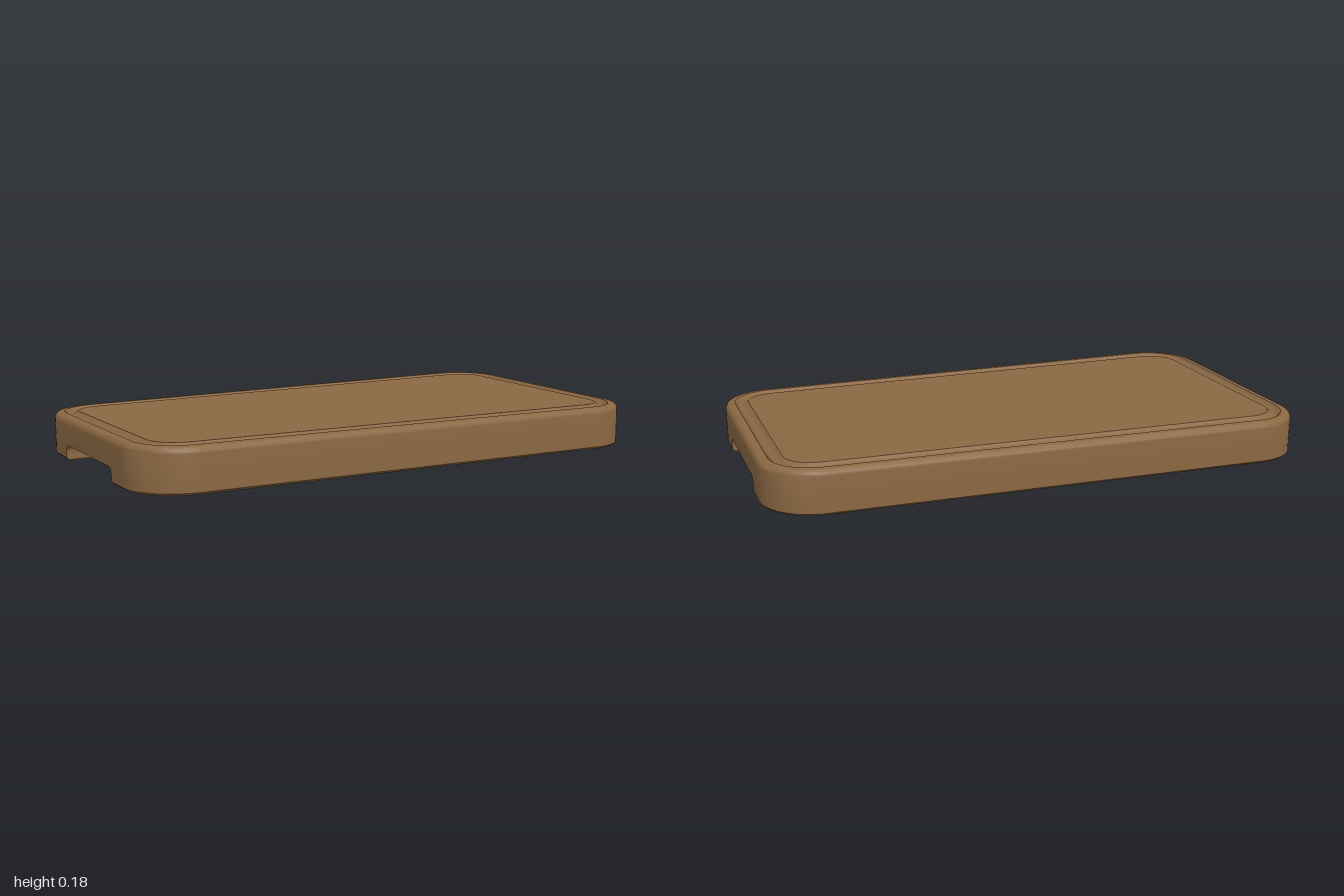
import * as THREE from 'three';
import { toCreasedNormals } from 'three/addons/utils/BufferGeometryUtils.js';

const HALF_X = 1, HALF_Z = 0.545, RADIUS = 0.19, THICK = 0.155;
const GRIP = { half: 0.247, depth: 0.08, height: 0.055, round: 0.028 };

// Slight twist of the wood: height offset blended between the four corners
function warp(x, z) {
  const u = (x / HALF_X + 1) / 2, v = (z / HALF_Z + 1) / 2;
  const back = THREE.MathUtils.lerp(0.001, 0.029, u);
  const front = THREE.MathUtils.lerp(0.012, 0.006, u);
  return THREE.MathUtils.lerp(back, front, v);
}

// Outline points: each gives its position for an inset d, and its grip ceiling
function makeOutline() {
  const points = [];
  const corner = (sx, sz, start) => {
    for (let i = 0; i <= 14; i++) {
      const a = start + (i / 14) * Math.PI / 2;
      points.push({
        at: (d) => [
          sx * (HALF_X - RADIUS) + Math.cos(a) * (RADIUS - d),
          sz * (HALF_Z - RADIUS) + Math.sin(a) * (RADIUS - d),
        ],
        ceiling: GRIP.height - GRIP.round,
      });
    }
  };
  const end = (sx) => {
    const add = (z, ceiling, grip) => points.push({
      at: (d, cut) => [sx * (HALF_X - d - (grip ? cut * GRIP.depth : 0)), z],
      ceiling,
    });
    const low = GRIP.height - GRIP.round;
    const arc = [];
    for (let i = 0; i <= 6; i++) {
      const a = (i / 6) * Math.PI / 2;
      arc.push([GRIP.half - GRIP.round * (1 - Math.cos(a)), low + GRIP.round * Math.sin(a)]);
    }
    add(-sx * GRIP.half, low, false);
    arc.forEach(([z, c]) => add(-sx * z, c, true));
    arc.reverse().forEach(([z, c]) => add(sx * z, c, true));
    add(sx * GRIP.half, low, false);
  };
  corner(1, 1, 0);
  corner(-1, 1, Math.PI / 2);
  end(-1);
  corner(-1, -1, Math.PI);
  corner(1, -1, Math.PI * 1.5);
  end(1);
  return points;
}

function makeBoard() {
  const outline = makeOutline();
  const rings = [];
  // y is a number, or a function of the outline point
  const ring = (d, y, cut = 0, scale = 1) => rings.push(outline.map((p) => {
    const [px, pz] = p.at(d, cut);
    const x = px * scale, z = pz * scale;
    return [x, (typeof y === 'function' ? y(p) : y) + warp(x, z), z];
  }));

  // Underside, lower edge and grips
  for (const s of [0, 0.35, 0.7, 1]) ring(0.008, 0, 1, s);
  ring(0, 0.008, 1);
  ring(0, (p) => p.ceiling - 0.012, 1);
  ring(0, (p) => p.ceiling - 0.003, 0.95);
  ring(0, (p) => p.ceiling, 0.8);
  ring(0, (p) => p.ceiling, 0);

  // Outer wall and rounded upper rim
  const fillet = 0.022;
  for (let i = 0; i <= 6; i++) {
    const a = (i / 6) * Math.PI / 2;
    ring(fillet * (1 - Math.cos(a)), THICK - fillet * (1 - Math.sin(a)));
  }
  // Juice groove
  for (let i = 0; i <= 8; i++) {
    const t = i / 8;
    ring(0.036 + 0.05 * t, THICK - 0.014 * Math.sin(Math.PI * t));
  }
  // Cutting surface
  for (const s of [0.75, 0.5, 0.25, 0]) ring(0.086, THICK, 0, s);

  const n = outline.length, index = [];
  for (let r = 0; r < rings.length - 1; r++) {
    for (let i = 0; i < n; i++) {
      const j = (i + 1) % n;
      const a = r * n + i, b = r * n + j, c = b + n, d = a + n;
      index.push(a, d, c, a, c, b);
    }
  }
  const geometry = new THREE.BufferGeometry();
  geometry.setAttribute('position', new THREE.Float32BufferAttribute(rings.flat(2), 3));
  geometry.setIndex(index);
  return toCreasedNormals(geometry, 0.55);
}

export function createModel() {
  const wood = new THREE.MeshStandardMaterial({ color: 0x8b6843 });
  wood.name = 'brown wood';
  const board = new THREE.Mesh(makeBoard(), wood);
  board.name = 'cuttingBoard';
  const group = new THREE.Group();
  group.name = 'groovedBoard';
  group.add(board);
  return group;
}
